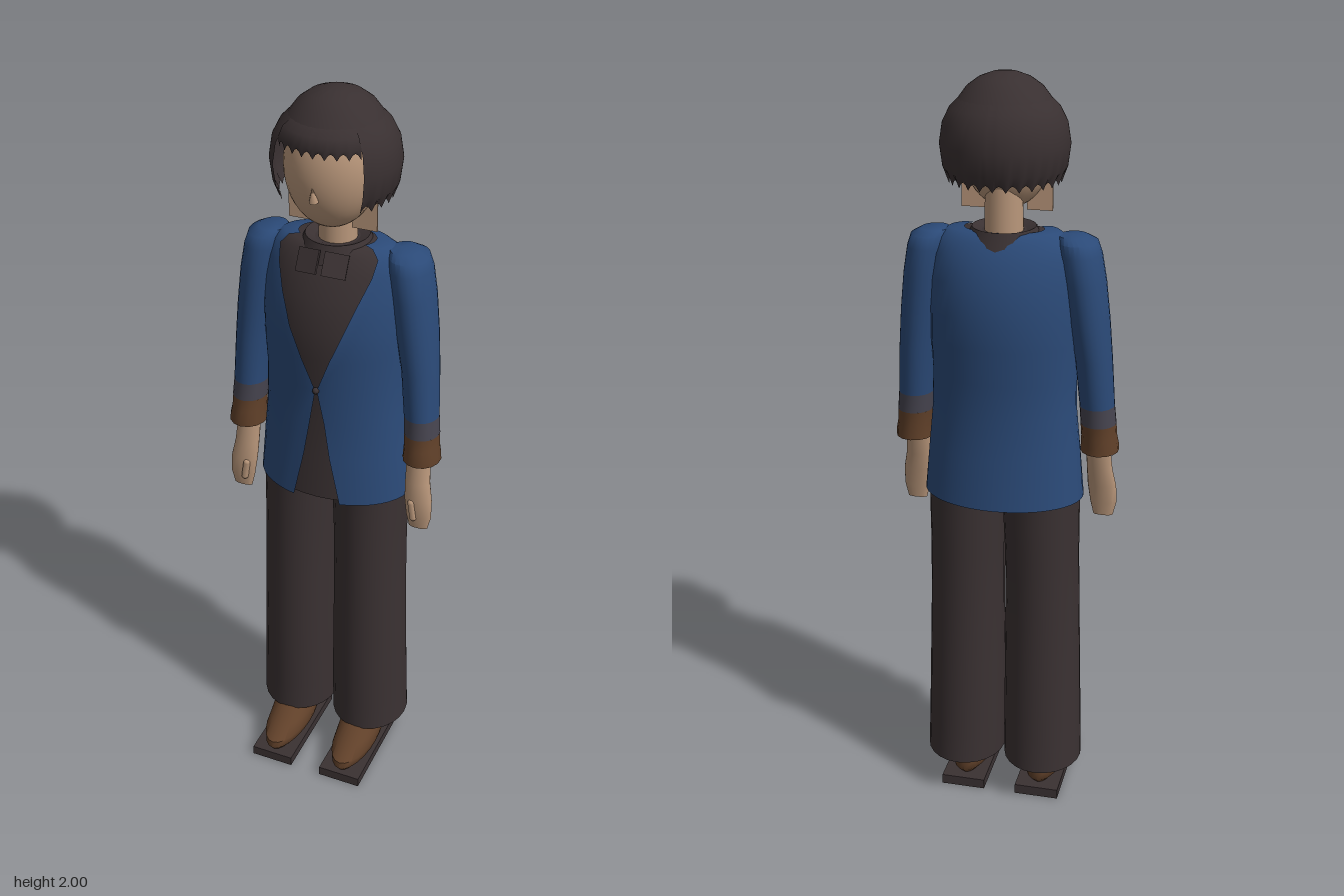
import * as THREE from 'three';
import { toCreasedNormals } from 'three/addons/utils/BufferGeometryUtils.js';

const mat = (name, color, side = THREE.DoubleSide) => {
  const m = new THREE.MeshStandardMaterial({ color, side });
  m.name = name;
  return m;
};

// Stacks elliptical rings, listed bottom to top as [y, cx, cz, rx, rz, frontGapHalfWidth].
// Angle 0 points to +z; arc limits the sweep, wave shifts the lowest ring.
function loft(levels, { n = 28, arc = null, wave = null } = {}) {
  const pos = [], idx = [];
  levels.forEach(([y, cx, cz, rx, rz, gap = 0], i) => {
    const a = gap ? Math.asin(Math.min(1, gap / rx)) : 0;
    const [t0, t1] = arc || [a, Math.PI * 2 - a];
    for (let j = 0; j <= n; j++) {
      const t = t0 + (t1 - t0) * j / n;
      const dy = wave && i === 0 ? wave(j) : 0;
      pos.push(cx + rx * Math.sin(t), y + dy, cz + rz * Math.cos(t));
      if (i > 0 && j < n) {
        const p = (i - 1) * (n + 1) + j, q = p + n + 1;
        idx.push(p, p + 1, q + 1, p, q + 1, q);
      }
    }
  });
  const g = new THREE.BufferGeometry();
  g.setAttribute('position', new THREE.Float32BufferAttribute(pos, 3));
  g.setIndex(idx);
  g.computeVertexNormals();
  return toCreasedNormals(g, 0.8);
}

export function createModel() {
  const root = new THREE.Group();
  root.name = 'standingPerson';
  const skin = mat('skin', 0xb8967a), blue = mat('jacketBlue', 0x2b4a78);
  const dark = mat('darkCloth', 0x3a3132), brown = mat('leatherBrown', 0x604029);
  const blend = mat('cuffBlend', 0x46444f), hairMat = mat('hair', 0x393031);

  const add = (name, geo, material, x = 0, y = 0, z = 0) => {
    const m = new THREE.Mesh(geo, material);
    m.name = name;
    m.position.set(x, y, z);
    root.add(m);
    return m;
  };

  // Head, neck and nose
  add('head', new THREE.SphereGeometry(1, 32, 24), skin, 0, 1.82, -0.005).scale.set(0.116, 0.156, 0.108);
  add('neck', new THREE.CylinderGeometry(0.046, 0.05, 0.18, 20), skin, 0, 1.66, -0.045);
  const nose = add('nose', new THREE.ConeGeometry(0.012, 0.04, 8), skin, 0, 1.785, 0.106);
  nose.rotation.x = 0.25;

  // Hair: crown, long sides and back, short fringe
  const hz = -0.033, gap = 0.8;
  add('hairCrown', loft([
    [1.935, 0, hz, 0.114, 0.114], [1.963, 0, hz, 0.093, 0.093],
    [1.984, 0, hz, 0.064, 0.064], [1.996, 0, hz, 0.032, 0.032], [2, 0, hz, 0, 0],
  ], { n: 32 }), hairMat);
  const scallop = j => [0, 0.012, 0.017, 0.012][j % 4];
  add('hairSides', loft([
    [1.735, 0, hz, 0.138, 0.135], [1.775, 0, hz, 0.153, 0.15], [1.83, 0, hz, 0.16, 0.157],
    [1.88, 0, hz, 0.152, 0.149], [1.915, 0, hz, 0.134, 0.132], [1.937, 0, hz, 0.112, 0.112],
  ], { n: 80, arc: [gap, Math.PI * 2 - gap], wave: scallop }), hairMat);
  add('fringe', loft([
    [1.872, 0, hz, 0.143, 0.14], [1.897, 0, hz, 0.145, 0.143],
    [1.922, 0, hz, 0.133, 0.134], [1.937, 0, hz, 0.112, 0.112],
  ], { n: 32, arc: [-gap, gap], wave: scallop }), hairMat);

  // Jacket, open along the front
  add('jacket', loft([
    [0.915, 0, -0.043, 0.211, 0.147, 0.065], [1.05, 0, -0.041, 0.199, 0.138, 0.036],
    [1.15, 0, -0.04, 0.189, 0.132, 0.02], [1.25, 0, -0.04, 0.186, 0.136, 0.002],
    [1.34, 0, -0.04, 0.19, 0.144, 0.037], [1.42, 0, -0.041, 0.191, 0.146, 0.07],
    [1.5, 0, -0.044, 0.188, 0.132, 0.1], [1.56, 0, -0.046, 0.182, 0.11, 0.122],
    [1.6, 0, -0.044, 0.17, 0.088, 0.128], [1.62, 0, -0.042, 0.14, 0.072, 0.11],
    [1.622, 0, -0.042, 0.1, 0.06, 0.085],
  ], { n: 40 }), blue);

  // Shirt just inside the jacket, closed at hem and neck
  add('shirt', loft([
    [0.925, 0, -0.043, 0, 0], [0.925, 0, -0.043, 0.205, 0.142], [1.05, 0, -0.041, 0.193, 0.133],
    [1.15, 0, -0.04, 0.183, 0.127], [1.25, 0, -0.04, 0.18, 0.131], [1.34, 0, -0.04, 0.184, 0.139],
    [1.42, 0, -0.041, 0.185, 0.141], [1.5, 0, -0.044, 0.182, 0.127], [1.56, 0, -0.046, 0.176, 0.105],
    [1.6, 0, -0.044, 0.155, 0.082], [1.616, 0, -0.042, 0.12, 0.067], [1.618, 0, -0.042, 0.04, 0.04],
  ], { n: 40 }), dark);
  add('collar', loft([
    [1.58, 0, -0.043, 0.105, 0.1], [1.628, 0, -0.043, 0.08, 0.082], [1.618, 0, -0.043, 0.055, 0.058],
  ]), dark);
  add('button', new THREE.SphereGeometry(0.009, 10, 8), dark, 0, 1.25, 0.097);

  for (const s of [1, -1]) {
    const side = s > 0 ? 'left' : 'right';
    const part = (name, levels, material, n = 24) =>
      add(side + name, loft(levels.map(([y, cx, ...r]) => [y, cx * s, ...r]), { n }), material);

    // Flat plate beside the jaw
    add(side + 'EarPlate', new THREE.BoxGeometry(0.065, 0.16, 0.004), skin, s * 0.083, 1.742, -0.012);

    // Collar flap
    const flap = add(side + 'CollarFlap', new THREE.BoxGeometry(0.06, 0.06, 0.006), dark, s * 0.036, 1.588, 0.058);
    flap.rotation.set(-0.5, s * 0.25, 0);

    // Sleeve fading into a brown cuff
    part('Sleeve', [
      [1.17, 0.24, -0.028, 0.045, 0.052], [1.3, 0.23, -0.036, 0.047, 0.062],
      [1.4, 0.217, -0.04, 0.052, 0.069], [1.5, 0.204, -0.043, 0.054, 0.073],
      [1.57, 0.193, -0.045, 0.053, 0.072], [1.6, 0.186, -0.046, 0.05, 0.064],
      [1.614, 0.175, -0.046, 0.036, 0.042], [1.617, 0.165, -0.046, 0, 0],
    ], blue);
    part('CuffBlend', [[1.12, 0.244, -0.025, 0.046, 0.052], [1.17, 0.24, -0.028, 0.045, 0.052]], blend);
    part('Cuff', [
      [1.06, 0.247, -0.022, 0.04, 0.045], [1.043, 0.248, -0.02, 0.05, 0.056],
      [1.06, 0.248, -0.02, 0.049, 0.056], [1.085, 0.246, -0.022, 0.046, 0.053],
      [1.12, 0.244, -0.025, 0.046, 0.052],
    ], brown, 14);

    // Forearm, flat hand and thumb
    part('Hand', [
      [0.84, 0.256, 0.012, 0, 0], [0.843, 0.256, 0.012, 0.026, 0.009], [0.88, 0.256, 0.012, 0.035, 0.015],
      [0.93, 0.252, 0.008, 0.038, 0.02], [0.98, 0.246, 0, 0.034, 0.023],
      [1.04, 0.243, -0.01, 0.032, 0.026], [1.12, 0.24, -0.02, 0.033, 0.03],
    ], skin, 16);
    const thumb = add(side + 'Thumb', new THREE.CapsuleGeometry(0.01, 0.045, 4, 8), skin, s * 0.242, 0.9, 0.024);
    thumb.rotation.z = s * 0.15;

    // Wide trouser leg
    part('TrouserLeg', [
      [0.115, 0.11, -0.042, 0.06, 0.07], [0.112, 0.11, -0.042, 0.108, 0.12],
      [0.2, 0.108, -0.04, 0.107, 0.118], [0.4, 0.106, -0.036, 0.104, 0.112],
      [0.6, 0.104, -0.036, 0.1, 0.107], [0.75, 0.102, -0.038, 0.099, 0.108],
      [0.85, 0.1, -0.04, 0.101, 0.109], [0.95, 0.099, -0.04, 0.101, 0.11],
    ], dark);

    // Slip-on shoe on a flat sole
    part('Shoe', [
      [0.028, 0.106, 0.045, 0.04, 0.13], [0.045, 0.106, 0.043, 0.056, 0.146],
      [0.065, 0.106, 0.04, 0.06, 0.146], [0.09, 0.106, 0.018, 0.058, 0.124],
      [0.115, 0.106, -0.01, 0.05, 0.092], [0.13, 0.106, -0.028, 0.042, 0.07],
      [0.2, 0.106, -0.04, 0.036, 0.045], [0.2, 0.106, -0.04, 0, 0],
    ], brown);
    add(side + 'Sole', new THREE.BoxGeometry(0.122, 0.028, 0.305), dark, s * 0.106, 0.014, 0.039);
  }
  return root;
}
